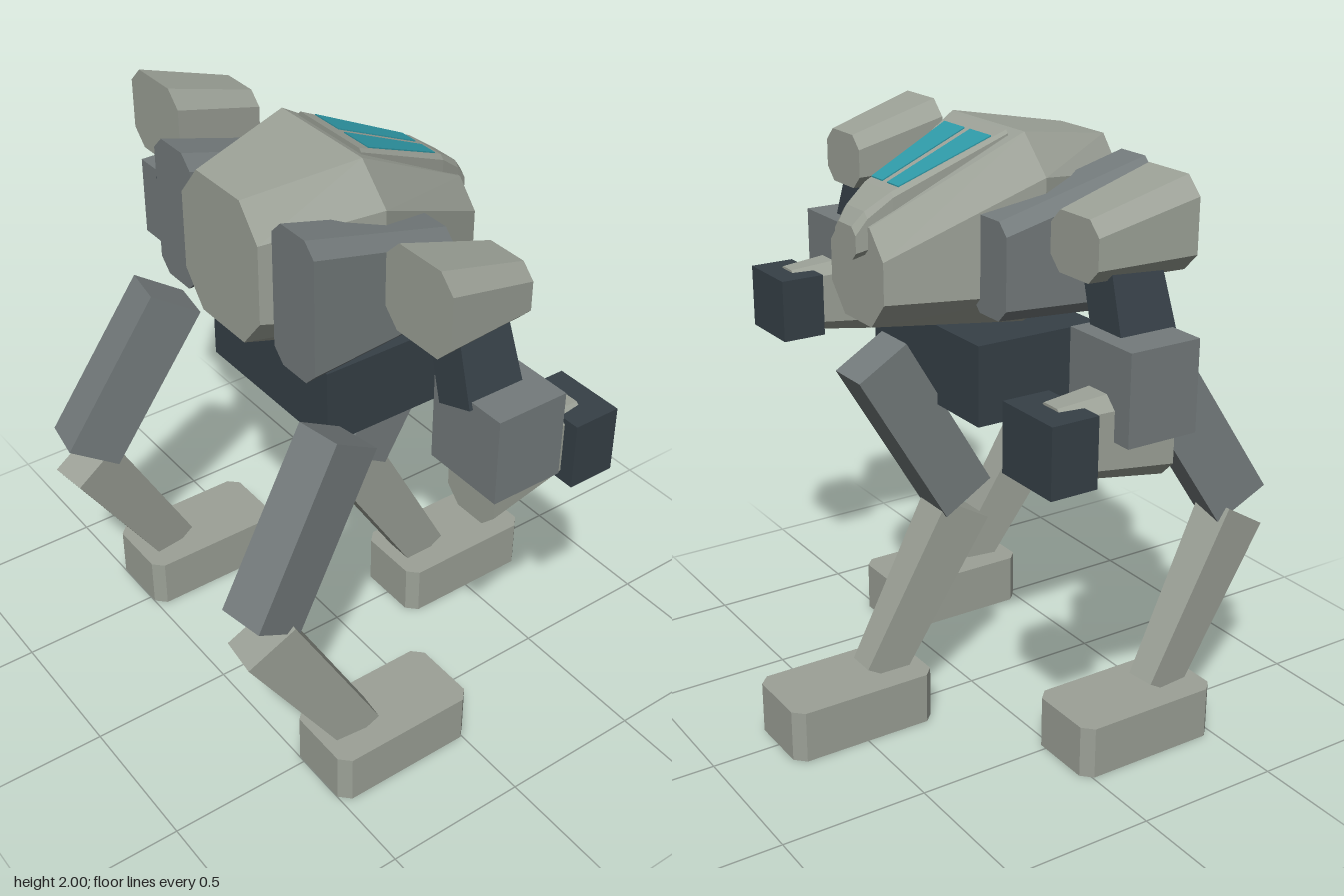
import * as THREE from 'three';

const mat = (color) => new THREE.MeshStandardMaterial({ color, flatShading: true });
const light = mat(0x9ca197), mid = mat(0x747b7c), dark = mat(0x364047), teal = mat(0x2f9aa8);

function add(parent, name, geometry, material) {
  const mesh = new THREE.Mesh(geometry, material);
  mesh.name = name;
  parent.add(mesh);
  return mesh;
}

// Solid skinned through closed rings of [x, y, z], listed front to back, each counter-clockwise seen from +z
function skin(rings) {
  const pos = [], n = rings[0].length, last = rings.length - 1;
  const tri = (a, b, c) => pos.push(...a, ...b, ...c);
  for (let i = 0; i < last; i++) {
    for (let k = 0; k < n; k++) {
      const j = (k + 1) % n, p = rings[i], q = rings[i + 1];
      tri(p[k], q[k], q[j]);
      tri(p[k], q[j], p[j]);
    }
  }
  for (let k = 1; k < n - 1; k++) {
    tri(rings[0][0], rings[0][k], rings[0][k + 1]);
    tri(rings[last][0], rings[last][k + 1], rings[last][k]);
  }
  const g = new THREE.BufferGeometry();
  g.setAttribute('position', new THREE.Float32BufferAttribute(pos, 3));
  g.computeVertexNormals();
  return g;
}

// Chamfered rectangle: centre x, half width, bottom, top, chamfer in x and y
function octagon(z, x, w, y0, y1, cx, cy = cx) {
  return [
    [x - w + cx, y0, z], [x + w - cx, y0, z], [x + w, y0 + cy, z], [x + w, y1 - cy, z],
    [x + w - cx, y1, z], [x - w + cx, y1, z], [x - w, y1 - cy, z], [x - w, y0 + cy, z],
  ];
}

function block(parent, name, material, x0, x1, y0, y1, z0, z1) {
  const m = add(parent, name, new THREE.BoxGeometry(x1 - x0, y1 - y0, z1 - z0), material);
  m.position.set((x0 + x1) / 2, (y0 + y1) / 2, (z0 + z1) / 2);
  return m;
}

// Tapered box from point a to point b; w is horizontal, d is across
function limb(parent, name, material, a, b, [w0, d0], [w1, d1]) {
  const A = new THREE.Vector3(...a), B = new THREE.Vector3(...b);
  const g = new THREE.BoxGeometry(1, A.distanceTo(B), 1), p = g.attributes.position;
  for (let i = 0; i < p.count; i++) {
    const end = p.getY(i) > 0;
    p.setX(i, p.getX(i) * (end ? w1 : w0));
    p.setZ(i, p.getZ(i) * (end ? d1 : d0));
  }
  g.computeVertexNormals();
  const m = add(parent, name, g, material);
  const y = B.clone().sub(A).normalize();
  const x = new THREE.Vector3(y.z, 0, -y.x).normalize();
  const z = x.clone().cross(y);
  m.quaternion.setFromRotationMatrix(new THREE.Matrix4().makeBasis(x, y, z));
  m.position.copy(A).add(B).multiplyScalar(0.5);
}

function foot(parent, x, z) {
  const w = 0.142, l = 0.264, c = 0.035;
  const s = new THREE.Shape([
    [-w + c, -l], [w - c, -l], [w, -l + c], [w, l - c],
    [w - c, l], [-w + c, l], [-w, l - c], [-w, -l + c],
  ].map((p) => new THREE.Vector2(...p)));
  const g = new THREE.ExtrudeGeometry(s, { depth: 0.18, bevelEnabled: false });
  g.rotateX(-Math.PI / 2);
  add(parent, 'foot', g, light).position.set(x, 0, z);
}

function leg(root, name, hip, knee, shinTop, ankle, footZ) {
  const g = new THREE.Group();
  g.name = name;
  limb(g, 'upperLeg', mid, hip, knee, [0.155, 0.2], [0.16, 0.2]);
  limb(g, 'lowerLeg', light, shinTop, ankle, [0.14, 0.19], [0.1, 0.15]);
  foot(g, ankle[0], footZ);
  root.add(g);
}

export function createModel() {
  const root = new THREE.Group();
  root.name = 'walker';

  // Torso and hips
  add(root, 'torso', skin([
    octagon(0.43, 0, 0.205, 1.455, 1.94, 0.09, 0.11),
    octagon(0.06, 0, 0.325, 1.395, 2.0, 0.12),
    octagon(-0.42, 0, 0.165, 1.425, 1.74, 0.08, 0.09),
  ]), light);
  block(root, 'hipBlock', dark, -0.32, 0.32, 1.12, 1.387, -0.18, 0.27);

  // Canopy frame ending in a small snout
  add(root, 'canopyFrame', skin([
    octagon(0.03, 0, 0.16, 1.94, 2.0, 0.01),
    octagon(-0.34, 0, 0.095, 1.72, 1.84, 0.015),
    octagon(-0.42, 0, 0.075, 1.65, 1.785, 0.02),
    octagon(-0.457, 0, 0.065, 1.635, 1.74, 0.025),
  ]), light);

  // Canopy windows, lying just above the sloping frame
  const slope = (z) => 2.0 - 0.432 * (0.03 - z);
  for (const s of [1, -1]) {
    const ring = (z, outer) => {
      const xs = [s * 0.015, s * outer].sort((a, b) => a - b), y = slope(z);
      return [[xs[0], y - 0.01, z], [xs[1], y - 0.01, z], [xs[1], y + 0.004, z], [xs[0], y + 0.004, z]];
    };
    add(root, 'canopyWindow', skin([ring(-0.015, 0.135), ring(-0.315, 0.082)]), teal);
  }

  for (const s of [1, -1]) {
    const side = s > 0 ? 'left' : 'right';

    // Side pod on the torso
    add(root, side + 'SidePod', skin([
      octagon(0.39, s * 0.323, 0.104, 1.44, 1.92, 0.045),
      octagon(-0.135, s * 0.31, 0.092, 1.47, 1.78, 0.04),
    ]), mid);

    // Arm
    const arm = new THREE.Group();
    arm.name = side + 'Arm';
    add(arm, 'shoulder', skin([
      octagon(0.23, s * 0.69, 0.145, 1.68, 1.96, 0.055),
      octagon(-0.092, s * 0.68, 0.115, 1.68, 1.865, 0.045),
    ]), light);
    limb(arm, 'upperArm', dark, [s * 0.695, 1.73, 0.06], [s * 0.78, 1.49, 0.06], [0.175, 0.14], [0.2, 0.14]);
    const ex = [s * 0.675, s * 0.96].sort((a, b) => a - b);
    block(arm, 'elbowBlock', mid, ...ex, 1.25, 1.535, -0.095, 0.148);
    add(arm, 'forearm', skin([
      octagon(0.107, s * 0.813, 0.104, 1.097, 1.4, 0.05),
      octagon(-0.26, s * 0.813, 0.062, 1.15, 1.37, 0.03),
    ]), light);
    const hx = [s * 0.693, s * 0.935].sort((a, b) => a - b);
    block(arm, 'handBlock', dark, ...hx, 1.14, 1.362, -0.34, -0.18);
    root.add(arm);

    // Front leg, splayed outward
    leg(root, side + 'FrontLeg', [s * 0.485, 1.295, 0.348], [s * 0.54, 0.768, 0.675],
      [s * 0.545, 0.715, 0.68], [s * 0.582, 0.17, 0.352], 0.235);
  }

  // Rear leg on the centre line
  leg(root, 'rearLeg', [0, 1.295, -0.378], [0, 0.763, -0.062],
    [0, 0.715, -0.06], [0, 0.17, -0.38], -0.5);

  return root;
}
